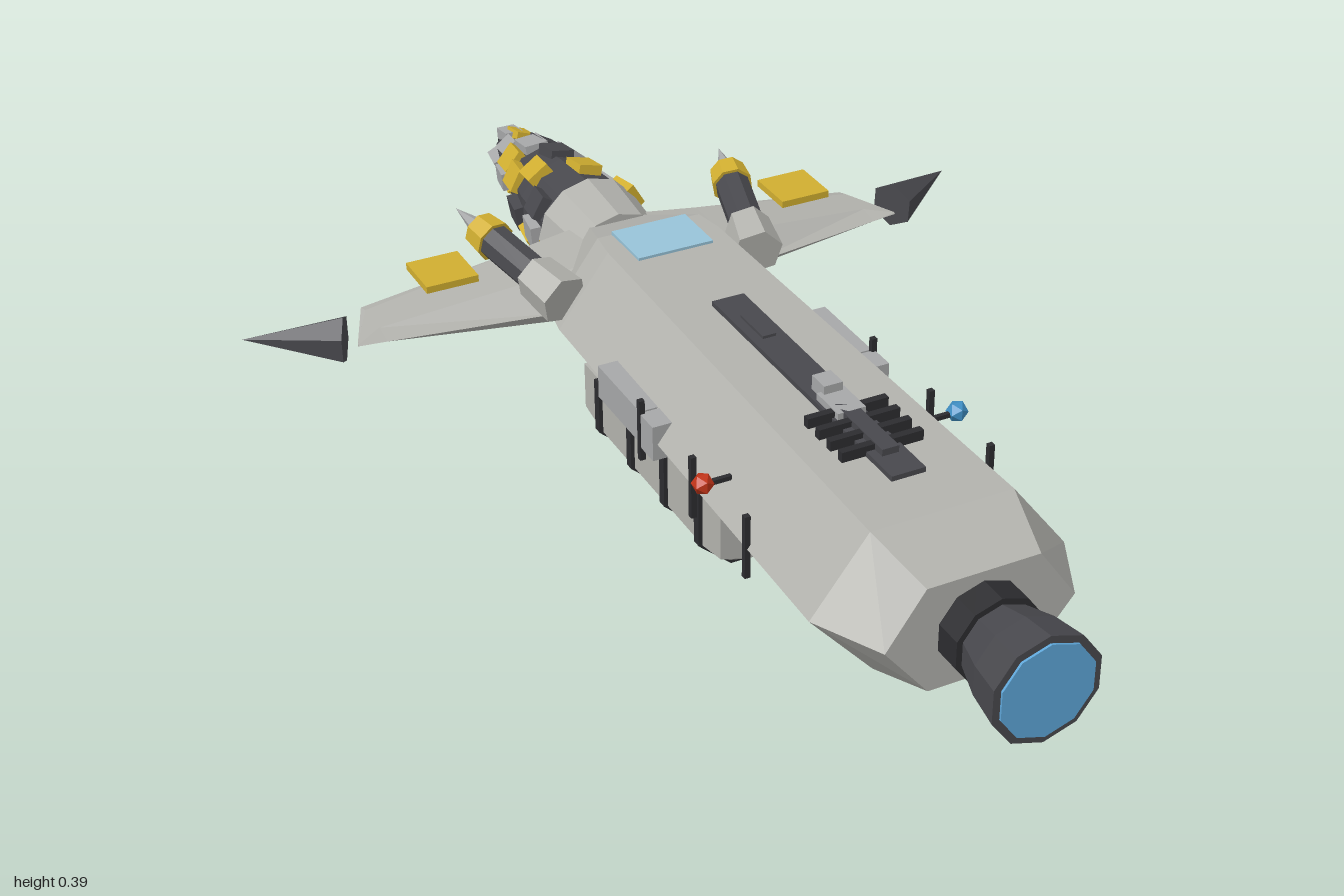
import * as THREE from 'three';

const mat = (name, color, side = THREE.FrontSide) => {
  const m = new THREE.MeshStandardMaterial({ color, side, flatShading: true });
  m.name = name;
  return m;
};

// Skin a list of closed rings (each a list of [x,y,z]) and cap both ends
function loft(rings) {
  const out = [], n = rings[0].length;
  const tri = (a, b, c) => out.push([a, b, c]);
  for (let i = 0; i < rings.length - 1; i++) {
    for (let j = 0; j < n; j++) {
      const k = (j + 1) % n, a = rings[i], b = rings[i + 1];
      tri(a[j], a[k], b[k]);
      tri(a[j], b[k], b[j]);
    }
  }
  const first = rings[0], last = rings[rings.length - 1];
  for (let j = 1; j < n - 1; j++) {
    tri(first[0], first[j + 1], first[j]);
    tri(last[0], last[j], last[j + 1]);
  }
  // Turn the faces outwards if the rings ran the other way
  const v = t => t.map(p => new THREE.Vector3(...p));
  const volume = out.reduce((s, t) => { const [a, b, c] = v(t); return s + a.dot(b.cross(c)); }, 0);
  const pos = out.flatMap(t => (volume < 0 ? [t[0], t[2], t[1]] : t).flat());
  const g = new THREE.BufferGeometry();
  g.setAttribute('position', new THREE.Float32BufferAttribute(pos, 3));
  g.computeVertexNormals();
  return g;
}

export function createModel() {
  const model = new THREE.Group();
  const hullGrey = mat('hull grey', 0xb2b2ad);
  const panelGrey = mat('panel grey', 0xa6a7a8);
  const dark = mat('dark metal', 0x48484d);
  const black = mat('black trim', 0x2c2c2f);
  const gold = mat('gold', 0xd0ae30);
  const blue = mat('lens blue', 0x5ea6d8);
  const glass = mat('window glass', 0x97c3d8);
  const red = mat('port red', 0xc23418);
  const lamp = mat('starboard blue', 0x3f8fc4);

  const add = (name, geo, m, x = 0, y = 0, z = 0, parent = model) => {
    const mesh = new THREE.Mesh(geo, m);
    mesh.name = name;
    mesh.position.set(x, y, z);
    parent.add(mesh);
    return mesh;
  };
  const box = (name, m, w, h, d, x, y, z, parent) => add(name, new THREE.BoxGeometry(w, h, d), m, x, y, z, parent);
  const MID = 0.227;

  // Hexagonal hull: z, side, top half width, top y, bottom y
  const hull = [
    [0.82, 0.165, 0.098, 0.322, 0.132],
    [0.7, 0.225, 0.125, 0.357, 0.1],
    [-0.25, 0.206, 0.108, 0.357, 0.1],
    [-0.31, 0.195, 0.1, 0.355, 0.108],
    [-0.46, 0.1, 0.05, 0.295, 0.155],
  ].map(([z, s, t, hi, lo]) => [
    [-s, MID, z], [-t, hi, z], [t, hi, z], [s, MID, z], [t * 0.9, lo, z], [-t * 0.9, lo, z],
  ]);
  add('hull', loft(hull), hullGrey);

  // Front nozzle with lens
  const tube = (name, m, r0, z0, r1, z1, sides) => {
    const g = new THREE.CylinderGeometry(r1, r0, Math.abs(z1 - z0), sides);
    g.rotateX(z1 > z0 ? Math.PI / 2 : -Math.PI / 2);
    return add(name, g, m, 0, MID, (z0 + z1) / 2);
  };
  tube('nozzleCollar', black, 0.078, 0.8, 0.078, 0.87, 10);
  tube('nozzleThroat', dark, 0.066, 0.865, 0.086, 0.93, 10);
  tube('nozzleBell', dark, 0.086, 0.93, 0.096, 0.996, 10);
  tube('nozzleLens', blue, 0.083, 0.994, 0.083, 1, 10);

  // Dorsal strip and its fittings
  box('dorsalStrip', dark, 0.06, 0.012, 0.6, 0, 0.36, 0.3);
  box('dorsalHatch', dark, 0.025, 0.014, 0.08, 0, 0.364, 0.11);
  for (let i = 0; i < 4; i++) box('dorsalRib', black, 0.145, 0.018, 0.013, 0, 0.367, 0.408 + i * 0.036);
  box('dorsalSpine', dark, 0.03, 0.016, 0.15, 0, 0.37, 0.47);
  box('sensorBase', panelGrey, 0.05, 0.022, 0.07, 0, 0.367, 0.39);
  box('sensorHead', panelGrey, 0.034, 0.026, 0.04, 0, 0.38, 0.345);
  box('roofWindow', glass, 0.145, 0.008, 0.112, 0, 0.358, -0.254);
  box('chinSensor', panelGrey, 0.055, 0.04, 0.07, 0, 0.094, 0.395);

  // Belly pod with straps and floor plates
  const bellyRing = (z, e = 0, lift = 0) => [
    [-0.175 - e, 0.168, z], [-0.175 - e, 0.066 + lift * 0.3, z], [-0.122, 0.02 - e + lift, z],
    [0.122, 0.02 - e + lift, z], [0.175 + e, 0.066 + lift * 0.3, z], [0.175 + e, 0.168, z],
  ];
  add('bellyPod', loft([bellyRing(0.315, 0, 0.045), bellyRing(0.25), bellyRing(-0.15), bellyRing(-0.215, 0, 0.045)]), hullGrey);
  for (let i = 0; i < 4; i++) {
    const z = 0.24 - i * 0.13;
    add('bellyStrap', loft([bellyRing(z + 0.009, 0.007), bellyRing(z - 0.009, 0.007)]), black);
    if (i < 3) box('bellyPlate', dark, 0.155, 0.018, 0.105, 0, 0.009, z - 0.065);
  }

  for (const s of [-1, 1]) {
    // Side panels, rods and lamps
    box('sidePanel', panelGrey, 0.04, 0.062, 0.165, s * 0.2, 0.231, 0.028);
    box('sideBox', panelGrey, 0.04, 0.065, 0.05, s * 0.203, 0.23, 0.14);
    for (const z of [0.49, 0.305, 0.115]) box('sideRod', black, 0.01, 0.115, 0.01, s * 0.22, 0.23, z);
    box('lampArm', black, 0.05, 0.008, 0.008, s * 0.208, 0.275, 0.367);
    add('sideLamp', new THREE.IcosahedronGeometry(0.019, 0), s < 0 ? red : lamp, s * 0.233, 0.277, 0.367);

    // Wing: x, leading z, trailing z, top y, bottom y
    const wing = [
      [0.05, -0.28, -0.535, 0.285, 0.162],
      [0.18, -0.3, -0.525, 0.268, 0.175],
      [0.49, -0.348, -0.482, 0.235, 0.221],
      [0.54, -0.355, -0.362, 0.23, 0.226],
    ].map(([x, a, b, hi, lo]) => {
      const p = a + (b - a) * 0.3, q = a + (b - a) * 0.82;
      return [[a, 0.228], [p, hi], [q, hi], [b, 0.228], [q, lo], [p, lo]].map(([z, y]) => [s * x, y, z]);
    });
    add('wing', loft(wing), hullGrey);
    box('wingPad', gold, 0.098, 0.013, 0.1, s * 0.354, 0.296, -0.421);

    // Pointed wing tip
    const point = new THREE.ConeGeometry(0.045, 0.18, 6);
    const tip = add('wingTip', point, dark, s * 0.634, 0.228, -0.43);
    tip.quaternion.setFromUnitVectors(new THREE.Vector3(0, 1, 0), new THREE.Vector3(s * 0.16, 0, -0.08).normalize());

    // Tilted cannon with its local y axis along the barrel
    const cannon = new THREE.Group();
    cannon.name = 'cannon';
    cannon.position.set(s * 0.2, 0.287, -0.29);
    cannon.quaternion.setFromUnitVectors(new THREE.Vector3(0, 1, 0), new THREE.Vector3(s * 0.068, 0.05, -0.27).normalize());
    model.add(cannon);
    add('cannonMount', new THREE.CylinderGeometry(0.042, 0.048, 0.085, 6), hullGrey, 0, 0.005, 0, cannon);
    add('cannonBarrel', new THREE.CylinderGeometry(0.033, 0.033, 0.16, 8), dark, 0, 0.11, 0, cannon);
    add('cannonRing', new THREE.CylinderGeometry(0.034, 0.039, 0.045, 8), gold, 0, 0.188, 0, cannon);
    add('cannonSpike', new THREE.ConeGeometry(0.02, 0.08, 6), panelGrey, 0, 0.245, 0, cannon);
  }

  // Tail: collar with gold underside, then a stepped dark cone
  const half = (name, m, start) => {
    const g = new THREE.CylinderGeometry(0.104, 0.092, 0.135, 6, 1, false, start, Math.PI);
    g.rotateX(-Math.PI / 2);
    add(name, g, m, 0, MID, -0.505);
  };
  half('collarTop', hullGrey, Math.PI / 2);
  half('collarBottom', gold, -Math.PI / 2);
  // Keep the grey half above and the gold half below the centre line
  const top = model.getObjectByName('collarTop'), low = model.getObjectByName('collarBottom');
  top.geometry.computeBoundingBox();
  if (top.geometry.boundingBox.max.y < 0.05) [top.material, low.material] = [gold, hullGrey];

  const tail = [[-0.57, 0.098], [-0.7, 0.088], [-0.8, 0.066], [-0.9, 0.044], [-0.965, 0.026]];
  for (let i = 0; i < tail.length - 1; i++) {
    tube('tailSection', dark, tail[i][1], tail[i][0], tail[i + 1][1], tail[i + 1][0], 10);
  }
  const tailRadius = z => {
    const i = Math.max(0, tail.findIndex(([tz]) => tz < z) - 1);
    const [z0, r0] = tail[i], [z1, r1] = tail[i + 1];
    return r0 + (r1 - r0) * (z - z0) / (z1 - z0);
  };

  // Armour tiles on the tail: degrees from the top towards +x, for each material
  const tiles = (name, m, list) => list.forEach(([deg, z]) => {
    const pivot = new THREE.Group();
    pivot.name = name + 'Mount';
    pivot.position.set(0, MID, z);
    pivot.rotation.z = -THREE.MathUtils.degToRad(deg);
    model.add(pivot);
    const w = z < -0.84 ? 0.036 : 0.047;
    box(name, m, w, 0.022, w + 0.012, 0, tailRadius(z) + 0.001, 0, pivot).rotation.x = -0.15;
  });
  tiles('goldTile', gold, [[-35, -0.7], [15, -0.645], [-62, -0.765], [60, -0.585], [-50, -0.83],
    [130, -0.74], [-120, -0.66], [200, -0.79], [110, -0.85], [-150, -0.88], [20, -0.93]]);
  tiles('greyTile', panelGrey, [[-4, -0.83], [42, -0.765], [92, -0.625], [-95, -0.62], [-38, -0.885],
    [0, -0.95], [85, -0.7], [170, -0.6], [150, -0.69], [-140, -0.74], [75, -0.82], [55, -0.88],
    [-95, -0.85], [180, -0.87], [120, -0.94], [-120, -0.94]]);
  tiles('darkTile', dark, [[-60, -0.62], [120, -0.63], [10, -0.75], [-100, -0.72], [-170, -0.68],
    [30, -0.84], [150, -0.82]]);
  tube('tailTip', black, 0.016, -0.96, 0.008, -1, 6);
  return model;
}
